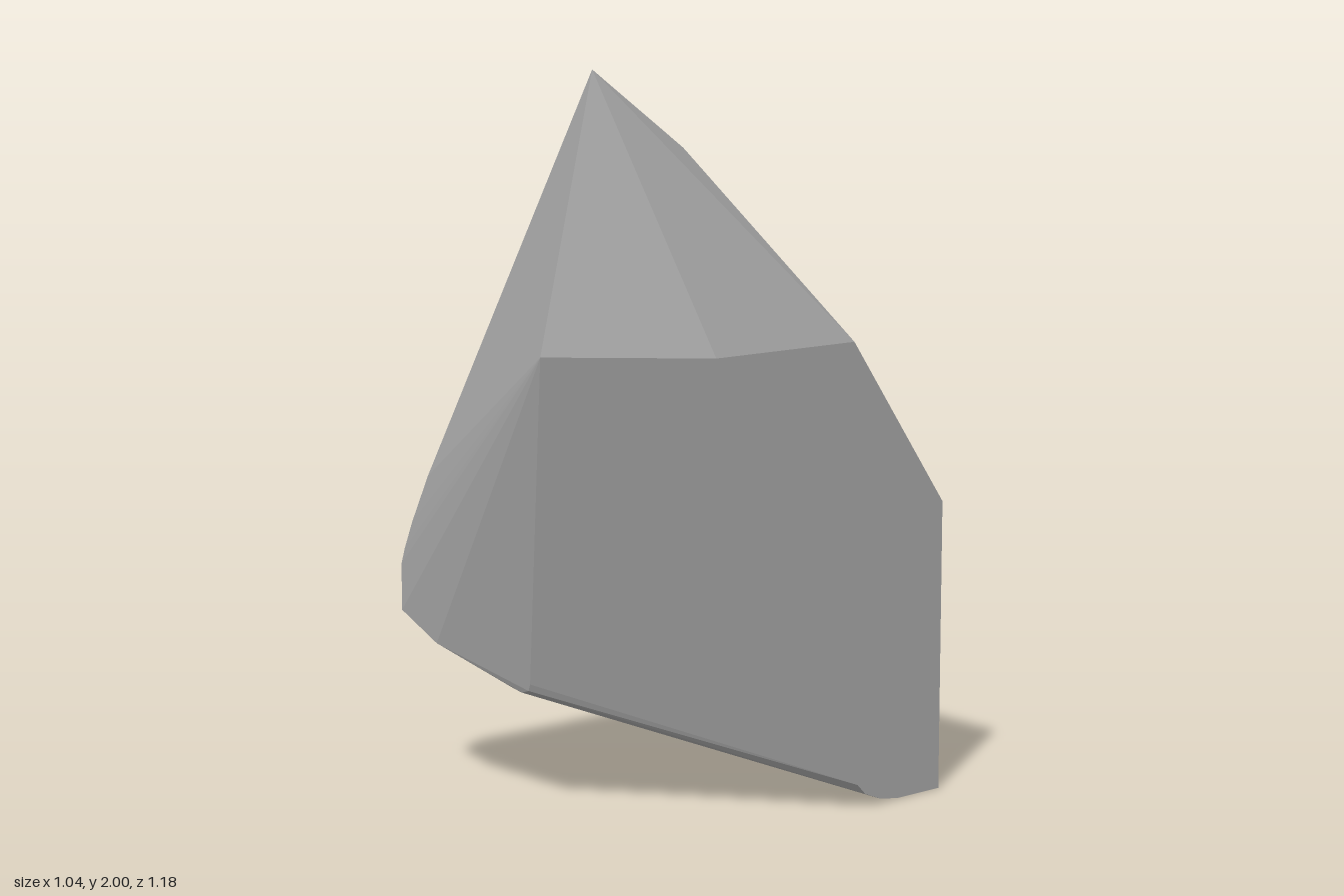
import * as THREE from 'three';
import { ConvexGeometry } from 'three/addons/geometries/ConvexGeometry.js';

// Height of the slanted underside at a given x
const baseY = (x) => 0.25 - 0.48 * x;
const onBase = (x, z) => [x, baseY(x), z];

export function createModel() {
  const group = new THREE.Group();
  group.name = 'rock';
  const stone = new THREE.MeshStandardMaterial({ color: 0xa8a8a8 });
  stone.name = 'grey stone';

  const corners = [
    // Peak and upper ridge
    [0.2, 2, 0.41], [0.2, 1.79, 0.09],
    // Shoulder
    [0.2, 1.28, 0.59], [0.52, 1.28, 0.28], [0.52, 1.28, -0.23],
    // Back wall
    [0.52, 0.81, -0.59], [0.25, 0.235, -0.59], onBase(0.25, -0.59), [0.52, 0, -0.59],
    // Rear edge of the narrow side
    [-0.36, 0.94, -0.13], onBase(-0.36, -0.13),
    // Worn front edge of the narrow side
    [-0.4, 0.89, 0.475], [-0.47, 0.755, 0.475], [-0.505, 0.675, 0.475],
    [-0.52, 0.63, 0.475], [-0.52, 0.63, 0.455],
    [-0.52, 0.5, 0.475], [-0.52, 0.5, 0.455], [-0.37, 0.43, 0.475],
    // Rounded lower front corner
    [-0.05, 0.36, 0.415], [-0.06, 0.34, 0.412], [-0.09, 0.33, 0.41], [-0.12, 0.335, 0.41],
    onBase(-0.13, 0.36),
    // Rounded lower edge, far end
    [0.52, 0.07, -0.26], [0.52, 0.04, -0.29], [0.52, 0.015, -0.35], [0.52, 0.003, -0.42],
  ];

  const geometry = new ConvexGeometry(corners.map((p) => new THREE.Vector3(...p)));
  const body = new THREE.Mesh(geometry, stone);
  body.name = 'rockBody';
  group.add(body);
  return group;
}
